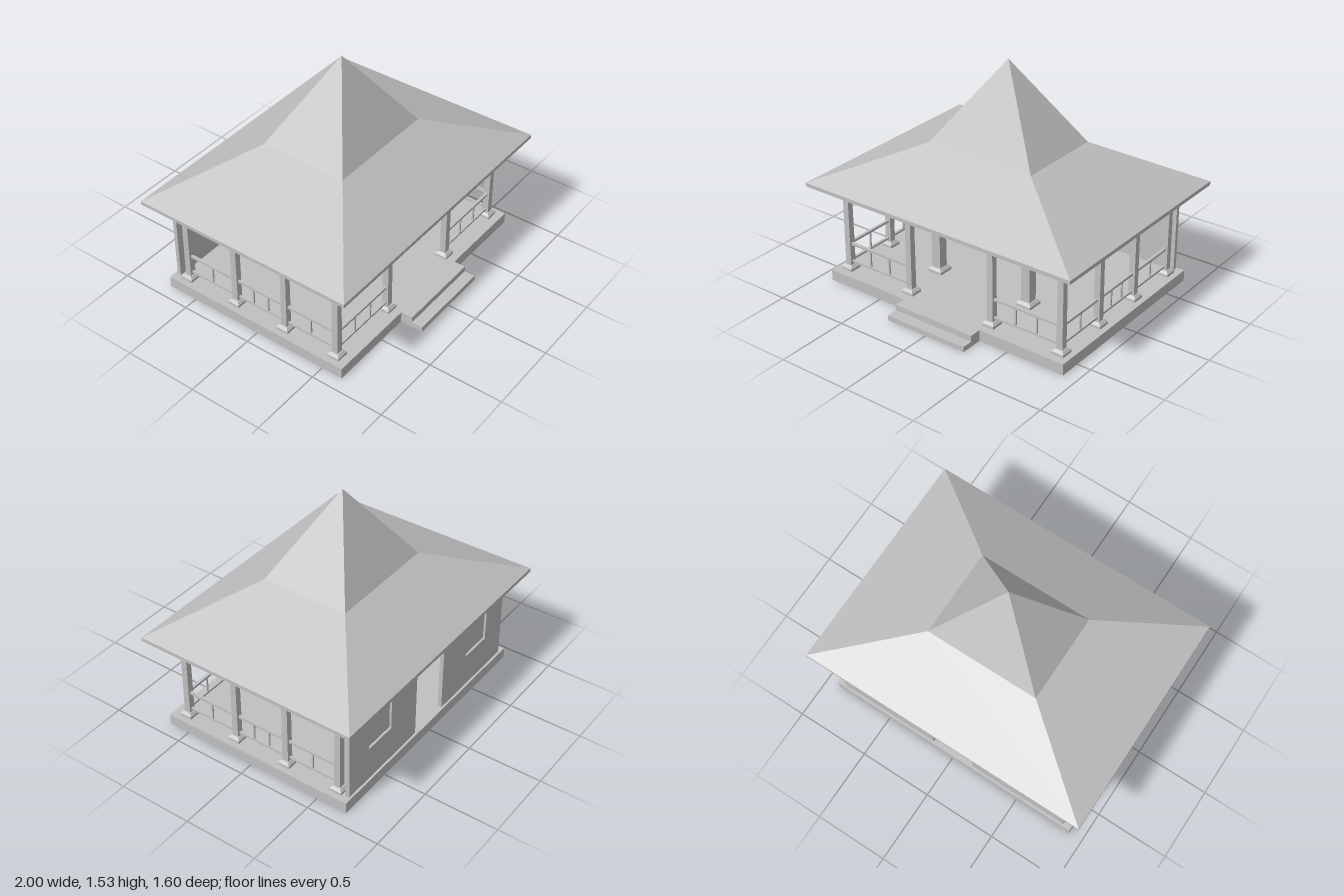
import * as THREE from 'three';

export function createModel() {
  const model = new THREE.Group();
  model.name = 'pavilion';
  const plaster = new THREE.MeshStandardMaterial({ color: 0xc0c0c0, flatShading: true });
  plaster.name = 'plain grey';

  const add = (name, geometry, parent = model) => {
    const mesh = new THREE.Mesh(geometry, plaster);
    mesh.name = name;
    parent.add(mesh);
    return mesh;
  };
  // Box given by its lower and upper limits on each axis
  const box = (name, x0, x1, y0, y1, z0, z1, parent) =>
    add(name, new THREE.BoxGeometry(x1 - x0, y1 - y0, z1 - z0), parent)
      .position.set((x0 + x1) / 2, (y0 + y1) / 2, (z0 + z1) / 2);
  // Square, tapered prism standing at y0
  const prism = (name, x, z, y0, y1, wide, narrow, parent) => {
    const g = new THREE.CylinderGeometry(narrow / Math.SQRT2, wide / Math.SQRT2, y1 - y0, 4);
    g.rotateY(Math.PI / 4);
    add(name, g, parent).position.set(x, (y0 + y1) / 2, z);
  };

  // Floor and front steps
  const floor = 0.075;
  box('floorSlab', -0.905, 0.905, 0, floor, -0.71, 0.645);
  box('upperStep', -0.295, 0.295, 0, floor, 0.645, 0.725);
  box('lowerStep', -0.295, 0.295, 0, 0.035, 0.725, 0.8);

  // Two-pitch hollow roof, from rectangular rings running down the outside and up the inside
  const zMid = -0.033;
  const rings = [
    [0, 1.53, 0], [0.388, 0.98, 0.298], [1, 0.705, 0.767],
    [1, 0.68, 0.767], [0.388, 0.95, 0.298], [0, 1.47, 0],
  ].map(([w, y, d]) => [[w, d], [w, -d], [-w, -d], [-w, d]].map(([x, z]) => [x, y, z + zMid]));
  const points = [];
  for (let r = 0; r < rings.length - 1; r++) {
    for (let i = 0; i < 4; i++) {
      const j = (i + 1) % 4, a = rings[r], b = rings[r + 1];
      if (r < rings.length - 2) points.push(...a[i], ...b[i], ...b[j]);
      if (r > 0) points.push(...a[i], ...b[j], ...a[j]);
    }
  }
  const roof = new THREE.BufferGeometry();
  roof.setAttribute('position', new THREE.Float32BufferAttribute(points, 3));
  roof.computeVertexNormals();
  add('roof', roof);

  // Columns with a stepped, tapering foot
  const column = (name, x, z, top, width, foot) => {
    const group = new THREE.Group();
    group.name = name;
    model.add(group);
    prism('footSlab', x, z, floor, floor + 0.017, foot, foot, group);
    prism('footTaper', x, z, floor + 0.017, floor + 0.034, foot, width + 0.012, group);
    prism('shaft', x, z, floor + 0.034, top, width, width - 0.003, group);
  };
  const sideX = 0.825, frontZ = 0.55;
  const postZ = [0.55, 0.165, -0.22, -0.605];

  // Railing bay between two posts, along x or z
  const railing = (along, fixed, from, to, balusters) => {
    const group = new THREE.Group();
    group.name = 'railing';
    model.add(group);
    const bar = (name, a, b, y0, y1, t) => along === 'x'
      ? box(name, a, b, y0, y1, fixed - t, fixed + t, group)
      : box(name, fixed - t, fixed + t, y0, y1, a, b, group);
    bar('topRail', from, to, 0.25, 0.266, 0.009);
    bar('bottomRail', from, to, 0.126, 0.14, 0.007);
    for (let i = 1; i <= balusters; i++) {
      const c = from + (to - from) * i / (balusters + 1);
      bar('baluster', c - 0.005, c + 0.005, 0.14, 0.25, 0.005);
    }
  };

  for (const s of [-1, 1]) {
    // Porch posts and inner columns
    for (const z of postZ) column('porchPost', s * sideX, z, 0.76, 0.043, 0.085);
    column('entrancePost', s * 0.316, frontZ, 0.76, 0.043, 0.085);
    for (const z of [0.23, -0.29]) column('innerColumn', s * 0.352, z, 0.94, 0.066, 0.108);

    // Railings
    for (let i = 0; i < 3; i++) {
      railing('z', s * sideX, postZ[i + 1] + 0.02, postZ[i] - 0.02, i === 1 ? 2 : 1);
    }
    const ends = [s * 0.337, s * 0.805].sort((a, b) => a - b);
    railing('x', frontZ, ends[0], ends[1], 2);

    // Side beam and window pane
    box('sideBeam', s * sideX - 0.02, s * sideX + 0.02, 0.69, 0.73, -0.67, 0.57);
    const wx = s * 0.537;
    box('windowPane', wx - 0.118, wx + 0.118, 0.308, 0.517, -0.68, -0.672);
  }
  box('frontBeam', -0.805, 0.805, 0.69, 0.73, frontZ - 0.02, frontZ + 0.02);

  // Back wall with doorway and window openings
  const wall = new THREE.Shape();
  [[-0.85, floor], [-0.15, floor], [-0.15, 0.555], [0.15, 0.555], [0.15, floor],
    [0.85, floor], [0.85, 0.74], [-0.85, 0.74]]
    .forEach(([x, y], i) => (i ? wall.lineTo(x, y) : wall.moveTo(x, y)));
  for (const s of [-1, 1]) {
    const hole = new THREE.Path();
    const c = s * 0.537;
    hole.moveTo(c - 0.117, 0.309);
    hole.lineTo(c - 0.117, 0.516);
    hole.lineTo(c + 0.117, 0.516);
    hole.lineTo(c + 0.117, 0.309);
    hole.closePath();
    wall.holes.push(hole);
  }
  add('backWall', new THREE.ExtrudeGeometry(wall, { depth: 0.027, bevelEnabled: false }))
    .position.z = -0.695;

  return model;
}
